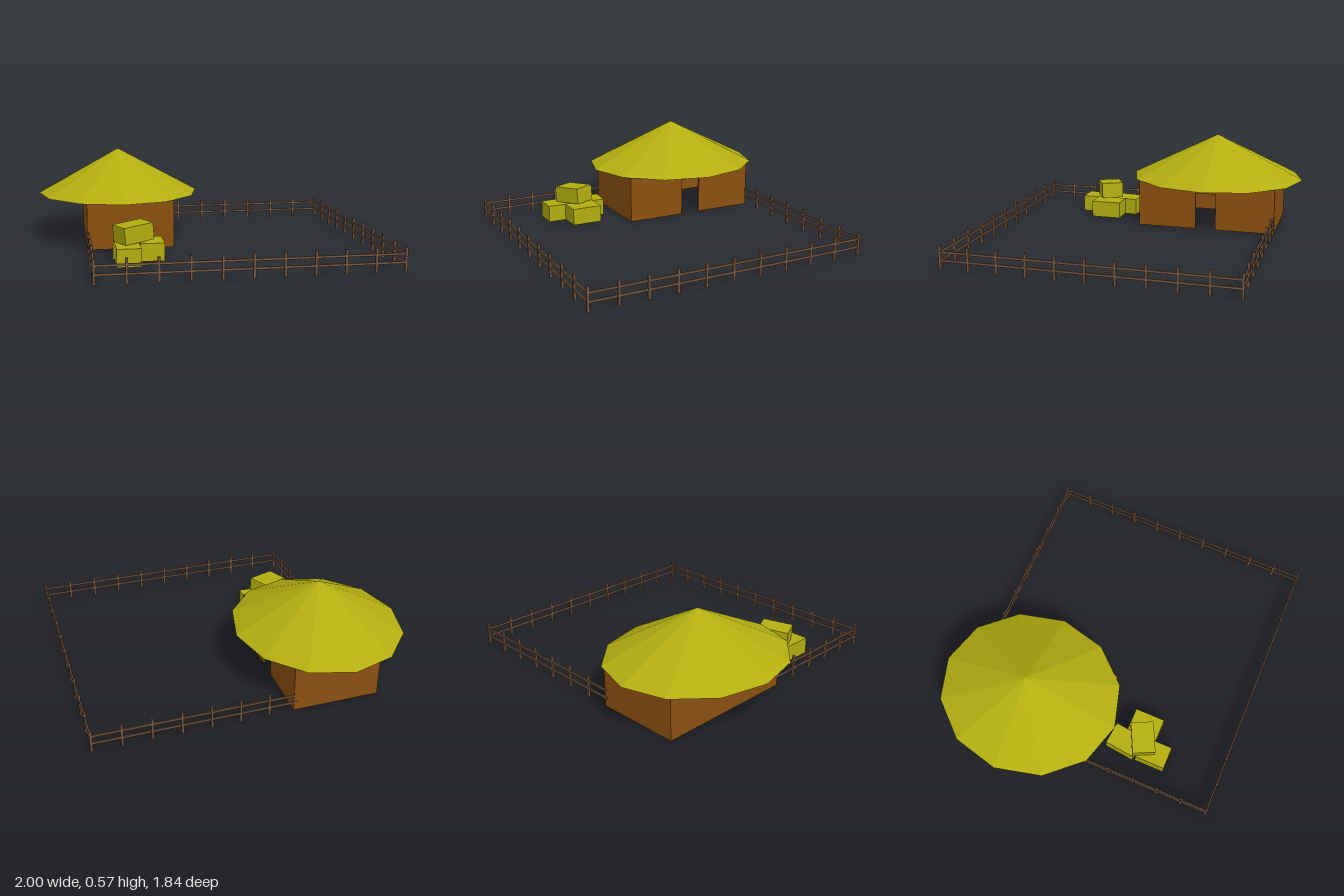
import * as THREE from 'three';

const mat = (name, color) => {
  const m = new THREE.MeshStandardMaterial({ color });
  m.name = name;
  return m;
};

export function createModel() {
  const model = new THREE.Group();
  const straw = mat('straw', 0xb3ae10);
  const mud = mat('mud wall', 0x8b5010);
  const wood = mat('fence wood', 0x755642);

  const add = (parent, name, geometry, material, x = 0, y = 0, z = 0) => {
    const mesh = new THREE.Mesh(geometry, material);
    mesh.name = name;
    mesh.position.set(x, y, z);
    parent.add(mesh);
    return mesh;
  };
  const group = (name) => {
    const g = new THREE.Group();
    g.name = name;
    model.add(g);
    return g;
  };

  // Hut walls: open below, with a doorway in the +x wall
  const hut = group('hut');
  const x0 = -0.71, x1 = -0.18, z0 = -0.78, z1 = 0.1, wallH = 0.29, t = 0.014;
  const wallX = new THREE.BoxGeometry(x1 - x0, wallH, t);
  add(hut, 'frontWall', wallX, mud, (x0 + x1) / 2, wallH / 2, z1 - t / 2);
  add(hut, 'backWall', wallX, mud, (x0 + x1) / 2, wallH / 2, z0 + t / 2);
  add(hut, 'closedSideWall', new THREE.BoxGeometry(t, wallH, z1 - z0 - 2 * t), mud,
    x0 + t / 2, wallH / 2, (z0 + z1) / 2);

  // Shape x runs along -z once the wall is turned to face +x
  const a = -z1 + t, b = -z0 - t, d0 = 0.275, d1 = 0.405, doorH = 0.235;
  const outline = [[a, 0], [d0, 0], [d0, doorH], [d1, doorH], [d1, 0], [b, 0], [b, wallH], [a, wallH]];
  const doorShape = new THREE.Shape(outline.map(([x, y]) => new THREE.Vector2(x, y)));
  const doorWall = new THREE.ExtrudeGeometry(doorShape, { depth: t, bevelEnabled: false });
  doorWall.rotateY(Math.PI / 2);
  add(hut, 'doorWall', doorWall, mud, x1 - t, 0, 0);

  // Twelve-sided thatched roof with a shallow bulging underside
  const profile = [[0, 0.262], [0.55, 0.267], [0.67, 0.272], [0.84, 0.288], [1, 0.29], [0.015, 0.567], [0, 0.567]];
  let roof = new THREE.LatheGeometry(profile.map(([r, y]) => new THREE.Vector2(r, y)), 12);
  roof.scale(0.512, 1, 0.565);
  roof = roof.toNonIndexed();
  roof.computeVertexNormals();
  add(hut, 'thatchedRoof', roof, straw, -0.488, 0, -0.355);

  // Hay bales: three on the ground, one tilted on top
  const hay = group('hayBales');
  const bale = new THREE.BoxGeometry(0.14, 0.105, 0.19);
  add(hay, 'frontBale', bale, straw, -0.495, 0.0525, 0.475);
  add(hay, 'sideBale', bale, straw, -0.35, 0.0555, 0.365);
  add(hay, 'rearBale', bale, straw, -0.492, 0.0525, 0.28).rotation.y = -0.11;
  const topBale = add(hay, 'topBale', new THREE.BoxGeometry(0.19, 0.1, 0.14), straw, -0.455, 0.163, 0.385);
  topBale.rotation.set(0, 0.45, 0.08);

  // Fence: posts at an even pitch with two rails between them
  const fence = group('fence');
  const post = new THREE.BoxGeometry(0.014, 0.137, 0.014);
  const L = -0.705, R = 0.99, B = -0.778, F = 0.908;
  const run = (name, ax, az, bx, bz, spans, first = 0, last = spans) => {
    const side = new THREE.Group();
    side.name = name;
    fence.add(side);
    for (let i = first; i <= last; i++) {
      const k = i / spans;
      add(side, 'post', post, wood, ax + (bx - ax) * k, 0.0685, az + (bz - az) * k);
    }
    const rail = new THREE.BoxGeometry(Math.abs(bx - ax) || 0.009, 0.013, Math.abs(bz - az) || 0.009);
    for (const y of [0.053, 0.101]) add(side, 'rail', rail, wood, (ax + bx) / 2, y, (az + bz) / 2);
  };
  run('frontFence', L, F, R, F, 10);
  run('doorSideFence', R, F, R, B, 10, 1);
  run('backFence', R, B, x1 - 0.02, B, 7, 1, 6);
  run('closedSideFence', L, F, L, z1, 5, 1, 4);

  return model;
}
